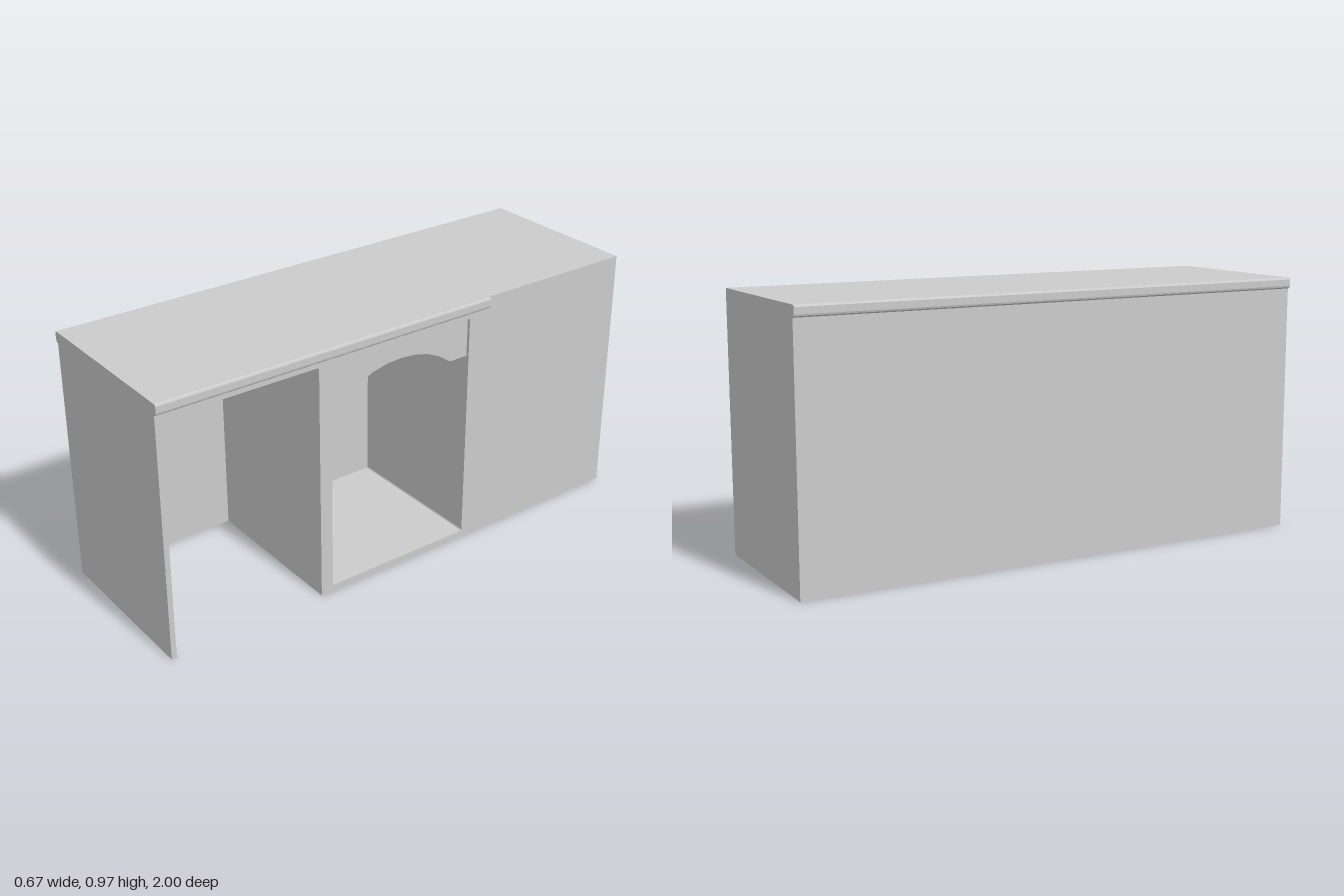
import * as THREE from 'three';

const material = new THREE.MeshStandardMaterial({ color: 0xcccccc, side: THREE.DoubleSide });
const toVectors = (list) => list.map(([x, y]) => new THREE.Vector2(x, y));

// Sheet swept along z between a and b from an outline in the xy plane
function sweep(name, outline, a, b) {
  const positions = [];
  for (let i = 0; i < outline.length - 1; i++) {
    const p = outline[i], q = outline[i + 1];
    positions.push(p.x, p.y, a, p.x, p.y, b, q.x, q.y, b);
    positions.push(p.x, p.y, a, q.x, q.y, b, q.x, q.y, a);
  }
  const geometry = new THREE.BufferGeometry();
  geometry.setAttribute('position', new THREE.Float32BufferAttribute(positions, 3));
  geometry.computeVertexNormals();
  const mesh = new THREE.Mesh(geometry, material);
  mesh.name = name;
  return mesh;
}

// Flat sheet at depth z, optionally with holes
function sheet(name, outline, z, holes = []) {
  const shape = new THREE.Shape(outline);
  holes.forEach((h) => shape.holes.push(new THREE.Path(h)));
  const mesh = new THREE.Mesh(new THREE.ShapeGeometry(shape), material);
  mesh.name = name;
  mesh.position.z = z;
  return mesh;
}

// Closed rectangle with slightly rounded corners
function roundedRect(x0, y0, x1, y1, r) {
  const s = new THREE.Shape();
  s.absarc(x1 - r, y1 - r, r, 0, Math.PI / 2);
  s.absarc(x0 + r, y1 - r, r, Math.PI / 2, Math.PI);
  s.absarc(x0 + r, y0 + r, r, Math.PI, Math.PI * 1.5);
  s.absarc(x1 - r, y0 + r, r, Math.PI * 1.5, Math.PI * 2);
  return s.getPoints(4);
}

export function createModel() {
  const model = new THREE.Group();
  model.name = 'counterDesk';

  const W = 0.323, H = 0.972, LIP_END = -0.36;

  // Rounded counter lip, from the wall up to the top surface
  const lip = toVectors([
    [W, 0.93], [0.328, 0.931], [0.333, 0.935], [0.335, 0.941],
    [0.335, 0.965], [0.333, 0.97], [0.328, H], [W, H],
  ]);
  const leftLip = lip.map((p) => new THREE.Vector2(-p.x, p.y));
  const wall = new THREE.Vector2(-W, 0);
  const topRight = new THREE.Vector2(W, H), bottomRight = new THREE.Vector2(W, 0);

  // Carcass: long wall, lip and top in one sheet, open underneath
  model.add(sweep('longWall', [wall, leftLip[0]], -1, 1));
  model.add(sweep('fullLengthLip', leftLip, -1, 1));
  model.add(sweep('counterTop', [leftLip[7], topRight], -1, 1));
  model.add(sweep('shortLip', lip, LIP_END, 1));
  model.add(sheet('shortLipEnd', lip, LIP_END));
  model.add(sheet('backEnd', [wall, ...leftLip, topRight, bottomRight], -1));
  model.add(sheet('frontEnd', [wall, ...leftLip, ...lip.slice().reverse(), bottomRight], 1));

  // Open side, drawn with -z to the right and turned to face +x
  const openSide = new THREE.Group();
  openSide.name = 'openSide';
  openSide.rotation.y = Math.PI / 2;
  model.add(openSide);

  const kneehole = toVectors([
    [-0.98, 0], [-0.98, 0.904], [-0.974, 0.91], [-0.386, 0.91], [-0.38, 0.904], [-0.38, 0],
  ]);
  const niche = roundedRect(-0.33, 0.025, 0.275, 0.91, 0.007);
  const face = [
    ...toVectors([[-1, 0]]), ...kneehole, ...toVectors([[1, 0], [1, H], [-1, H]]),
  ];
  openSide.add(sheet('sideFace', face, W, [niche]));
  openSide.add(sweep('kneeholeLining', kneehole, -0.3, W));
  openSide.add(sheet('kneeholeBack', kneehole, -0.3));
  openSide.add(sweep('nicheLining', [...niche, niche[0]], -0.27, W));
  openSide.add(sheet('nicheBack', niche, -0.27));

  // Arched valance hanging at the top of the niche
  const mid = -0.0275;
  const half = toVectors([[0.225, 0.76], [0.175, 0.795], [0.12, 0.82], [0.06, 0.834]]);
  const arch = [
    ...half.map((p) => new THREE.Vector2(mid - p.x, p.y)),
    new THREE.Vector2(mid, 0.838),
    ...half.slice().reverse().map((p) => new THREE.Vector2(mid + p.x, p.y)),
  ];
  const outline = [
    ...toVectors([[-0.33, 0.91], [-0.33, 0.76]]), ...arch, ...toVectors([[0.275, 0.76], [0.275, 0.91]]),
  ];
  const valance = new THREE.Mesh(
    new THREE.ExtrudeGeometry(new THREE.Shape(outline), { depth: 0.022, bevelEnabled: false }),
    material,
  );
  valance.name = 'archedValance';
  valance.position.z = W - 0.034;
  openSide.add(valance);

  return model;
}
